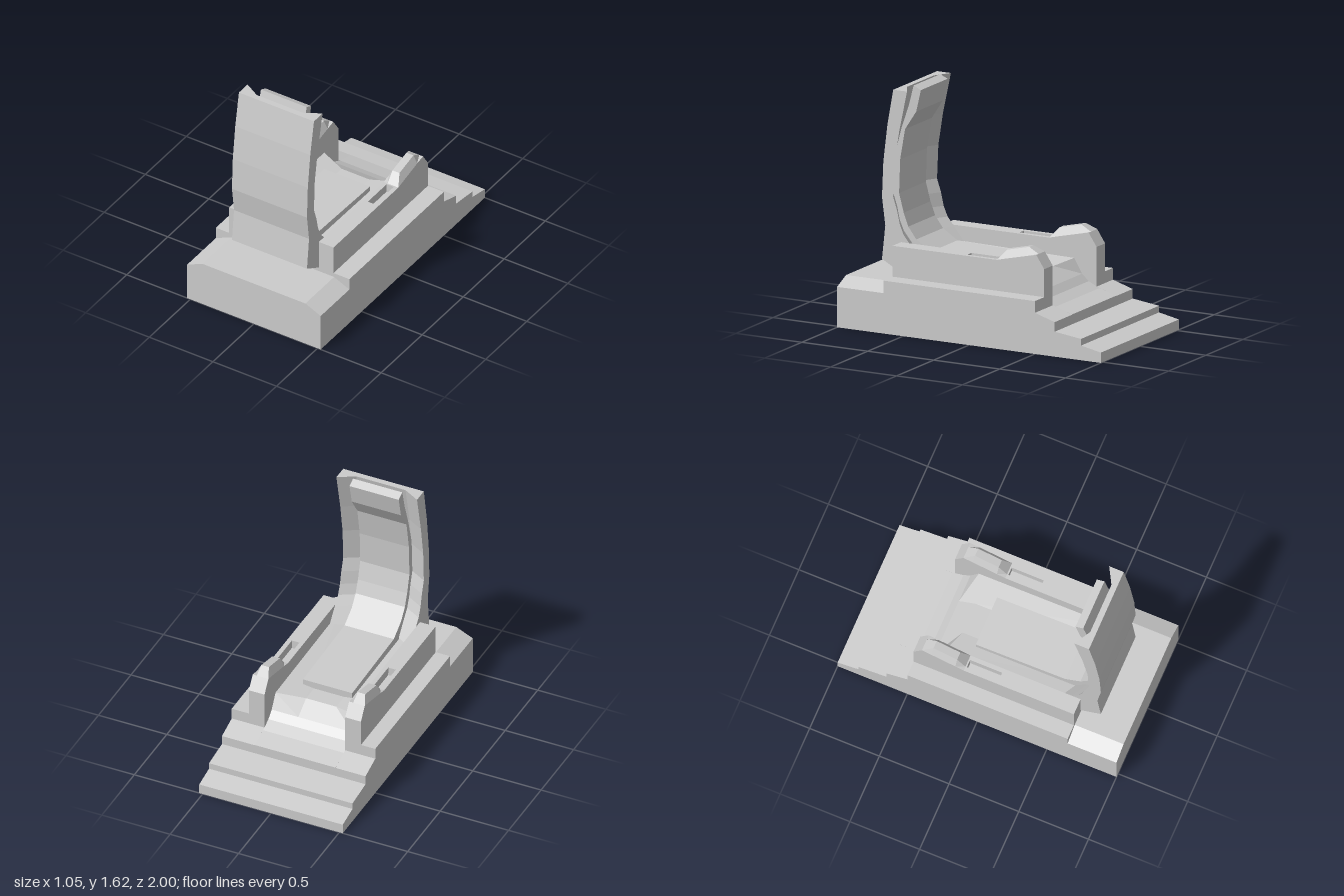
import * as THREE from 'three';

const grey = new THREE.MeshStandardMaterial({ color: 0xcccccc, flatShading: true });

// Solid through side profiles [[z, y], ...] placed at increasing x; all share one point count
function loftX(name, sections) {
  const flip = THREE.ShapeUtils.area(sections[0][1].map(p => new THREE.Vector2(...p))) < 0;
  const rings = sections.map(([x, pts]) =>
    (flip ? [...pts].reverse() : pts).map(([z, y]) => [x, y, z]));
  const pos = [];
  const tri = (a, b, c) => pos.push(...a, ...b, ...c);
  for (let i = 0; i < rings.length - 1; i++) {
    const a = rings[i], b = rings[i + 1], n = a.length;
    for (let j = 0; j < n; j++) {
      const k = (j + 1) % n;
      tri(a[j], b[j], a[k]);
      tri(a[k], b[j], b[k]);
    }
  }
  const cap = (r, reverse) => {
    const flat = r.map(p => new THREE.Vector2(p[2], p[1]));
    for (const [a, b, c] of THREE.ShapeUtils.triangulateShape(flat, []))
      reverse ? tri(r[a], r[c], r[b]) : tri(r[a], r[b], r[c]);
  };
  cap(rings[0], false);
  cap(rings[rings.length - 1], true);
  const geo = new THREE.BufferGeometry();
  geo.setAttribute('position', new THREE.Float32BufferAttribute(pos, 3));
  geo.computeVertexNormals();
  const mesh = new THREE.Mesh(geo, grey);
  mesh.name = name;
  return mesh;
}

export function createModel() {
  const group = new THREE.Group();
  group.name = 'throne';
  const L = 0.285, R = -0.305; // inner faces of the arms

  // Stepped base, lower between the arms where the seat block sits
  const base = (top, ledge, lip) => [
    [0.65, 0], [0.65, top], [-0.5, top], [-0.5, ledge], [-0.65, lip], [-0.65, 0.17],
    [-0.85, 0.145], [-0.85, 0.1], [-1, 0.07], [-1, 0]];
  const flank = base(0.36, 0.28, 0.235), core = base(0.22, 0.21, 0.2);
  group.add(loftX('steppedBase', [
    [-0.525, flank], [R, flank], [R, core], [L, core], [L, flank], [0.525, flank]]));

  // Plinth behind the backrest, with chamfered sides
  const plinth = h => [[0.65, 0], [1, 0], [1, h], [0.65, h]];
  group.add(loftX('rearPlinth', [
    [-0.525, plinth(0.275)], [-0.405, plinth(0.33)], [0.405, plinth(0.33)], [0.525, plinth(0.275)]]));

  // Dished seat block, running down into a concave ramp
  const seat = (top, edge, lipY) => [
    [0.65, 0.1], [0.65, top], [edge, lipY], [-0.39, 0.355], [-0.44, 0.31],
    [-0.52, 0.272], [-0.65, 0.237], [-0.65, 0.1]];
  const seatSide = seat(0.47, -0.33, 0.455), seatMid = seat(0.44, -0.27, 0.43);
  group.add(loftX('seat', [[R, seatSide], [-0.13, seatMid], [0.09, seatMid], [L, seatSide]]));

  // Arms with bevelled knobs and a slot in the top
  const arm = (knobLow, knobHigh, slot) => [
    [0.65, 0.2], [0.65, 0.57], [0.1, 0.57], [0.099, slot], [-0.129, slot], [-0.13, 0.57],
    [-0.14, 0.57], [-0.2, knobLow], [-0.37, knobHigh], [-0.44, 0.64], [-0.5, 0.55], [-0.5, 0.2]];
  const armSide = arm(0.585, 0.625, 0.57);
  const armTop = arm(0.64, 0.68, 0.57);
  const armSlot = arm(0.64, 0.68, 0.51);
  for (const [name, x] of [['rightArm', R - 0.115], ['leftArm', L]]) {
    group.add(loftX(name, [
      [x, armSide], [x + 0.03, armTop], [x + 0.03, armSlot],
      [x + 0.085, armSlot], [x + 0.085, armTop], [x + 0.115, armSide]]));
  }

  // Curved backrest, hollowed along the middle of its inner face
  const outer = [[0.65, 0.36], [0.795, 0.44], [0.77, 0.67], [0.795, 0.86],
    [0.785, 1.1], [0.755, 1.35], [0.71, 1.6]];
  const inner = [[0.605, 1.6], [0.665, 1.32], [0.7, 1.1], [0.71, 0.87], [0.68, 0.78],
    [0.66, 0.69], [0.63, 0.62], [0.58, 0.56], [0.5, 0.46]];
  const backSide = [...outer, ...inner];
  const backMid = [...outer, ...inner.map(([z, y]) => [z + 0.065, y])];
  group.add(loftX('backrest', [[R, backSide], [-0.19, backMid], [0.17, backMid], [L, backSide]]));

  // Pad on the seat and back, swelling into a headrest
  const pad = [[-0.15, 0.42], [-0.15, 0.48], [0.49, 0.5], [0.6, 0.57], [0.66, 0.65],
    [0.695, 0.74], [0.73, 0.87], [0.722, 1.1], [0.685, 1.31], [0.6, 1.44], [0.565, 1.59],
    [0.62, 1.615], [0.655, 1.48], [0.71, 1.32], [0.77, 1.1], [0.78, 0.87], [0.755, 0.67],
    [0.7, 0.5], [0.64, 0.42]];
  group.add(loftX('paddedCushion', [[-0.19, pad], [0.17, pad]]));

  return group;
}
